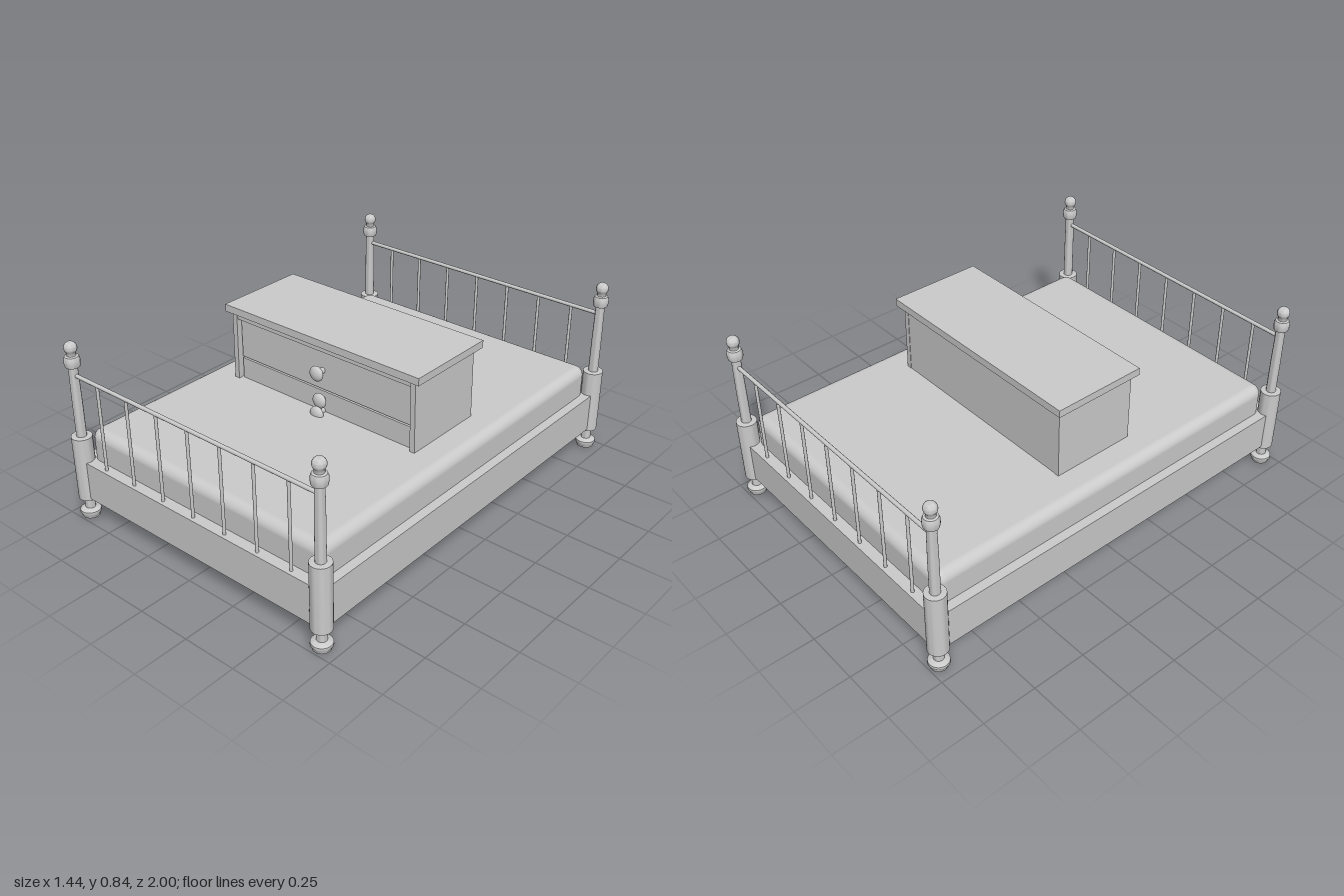
import * as THREE from 'three';
import { toCreasedNormals } from 'three/addons/utils/BufferGeometryUtils.js';
import { RoundedBoxGeometry } from 'three/addons/geometries/RoundedBoxGeometry.js';

const material = new THREE.MeshStandardMaterial({ color: 0xcccccc });

function add(parent, name, geometry, x = 0, y = 0, z = 0) {
  const mesh = new THREE.Mesh(geometry, material);
  mesh.name = name;
  mesh.position.set(x, y, z);
  parent.add(mesh);
  return mesh;
}

// Box given by its minimum and maximum corners
function box(parent, name, [x0, y0, z0], [x1, y1, z1]) {
  return add(parent, name, new THREE.BoxGeometry(x1 - x0, y1 - y0, z1 - z0),
    (x0 + x1) / 2, (y0 + y1) / 2, (z0 + z1) / 2);
}

// Upright rectangular tube, open through the middle
function tube(parent, name, w, d, wall, y0, y1) {
  const rect = (Type, a, b) => new Type([
    new THREE.Vector2(-a, -b), new THREE.Vector2(a, -b),
    new THREE.Vector2(a, b), new THREE.Vector2(-a, b)]);
  const shape = rect(THREE.Shape, w / 2, d / 2);
  shape.holes.push(rect(THREE.Path, w / 2 - wall, d / 2 - wall));
  const geometry = new THREE.ExtrudeGeometry(shape, { depth: y1 - y0, bevelEnabled: false });
  geometry.rotateX(-Math.PI / 2);
  return add(parent, name, geometry, 0, y0, 0);
}

function postGeometry() {
  const profile = [
    [0, 0], [0.038, 0], [0.041, 0.012], [0.046, 0.02], [0.045, 0.032], [0.036, 0.038], [0.022, 0.042],
    [0.022, 0.095], [0.045, 0.095], [0.045, 0.398], [0.022, 0.4], [0.022, 0.56], [0.02, 0.728],
    [0.031, 0.728], [0.034, 0.742], [0.034, 0.762], [0.029, 0.775], [0.02, 0.778], [0.02, 0.792],
  ].map(([r, y]) => new THREE.Vector2(r, y));
  // Ball finial
  for (let i = 0; i <= 10; i++) {
    const a = -0.75 + (Math.PI / 2 + 0.75) * i / 10;
    profile.push(new THREE.Vector2(Math.max(0, 0.028 * Math.cos(a)), 0.812 + 0.028 * Math.sin(a)));
  }
  return toCreasedNormals(new THREE.LatheGeometry(profile, 28), 0.7);
}

function buildBed() {
  const bed = new THREE.Group();
  bed.name = 'bed';
  box(bed, 'bedFrame', [-0.695, 0.105, -0.975], [0.695, 0.285, 0.975]);
  add(bed, 'mattress', new RoundedBoxGeometry(1.305, 0.23, 1.85, 5, 0.045), 0, 0.313, 0);

  const post = postGeometry();
  const spindle = new THREE.CylinderGeometry(0.007, 0.007, 0.41, 12);
  const rail = new THREE.CylinderGeometry(0.009, 0.009, 1.34, 12).rotateZ(Math.PI / 2);
  for (const end of [1, -1]) {
    const board = new THREE.Group();
    board.name = end > 0 ? 'footboard' : 'headboard';
    board.position.z = 0.953 * end;
    bed.add(board);
    for (const side of [-1, 1]) add(board, 'post', post, 0.672 * side, 0, 0);
    add(board, 'topRail', rail, 0, 0.688, 0);
    for (let i = -3; i <= 3; i++) add(board, 'spindle', spindle, i * 0.175, 0.483, 0);
  }
  return bed;
}

function buildChest() {
  const chest = new THREE.Group();
  chest.name = 'chest';
  // Carcass with a recessed front
  box(chest, 'chestBody', [-0.5, 0.12, -0.195], [0.5, 0.76, 0.155]);
  for (const side of [-1, 1]) {
    const panel = box(chest, 'sidePanel', [-0.0125, 0.12, -0.197], [0.0125, 0.76, 0.2]);
    panel.position.x = side * 0.499;
    panel.rotation.z = side * 0.012;
  }
  box(chest, 'frontRail', [-0.49, 0.722, 0.14], [0.49, 0.76, 0.195]);
  box(chest, 'chestTop', [-0.535, 0.753, -0.222], [0.535, 0.787, 0.217]);

  // Drawers and knobs
  const knob = new THREE.SphereGeometry(0.035, 24, 16).scale(1, 1, 0.53);
  const stem = new THREE.CylinderGeometry(0.014, 0.014, 0.06, 16).rotateX(Math.PI / 2);
  const drawers = [[0.535, 0.715, 0.625, 0.218], [0.35, 0.527, 0.488, 0.202], [0.16, 0.342, 0.432, 0.22]];
  for (const [y0, y1, knobY, knobZ] of drawers) {
    box(chest, 'drawer', [-0.478, y0, 0.1], [0.478, y1, 0.178]);
    add(chest, 'knob', knob, 0, knobY, knobZ);
    add(chest, 'knobStem', stem, 0, knobY, knobZ - 0.035);
  }

  // Open plinth below the bed, slightly flared at the floor
  const plinth = tube(chest, 'plinth', 1.07, 0.445, 0.02, 0, 0.12);
  const pos = plinth.geometry.attributes.position;
  for (let i = 0; i < pos.count; i++) {
    const k = 1 - 0.12 * pos.getY(i);
    pos.setX(i, pos.getX(i) * k);
    pos.setZ(i, pos.getZ(i) * k);
  }
  plinth.geometry.computeVertexNormals();
  tube(chest, 'innerPlinth', 0.5, 0.24, 0.018, 0.045, 0.12);
  return chest;
}

export function createModel() {
  const model = new THREE.Group();
  model.name = 'bedWithChest';
  model.add(buildBed(), buildChest());
  return model;
}
